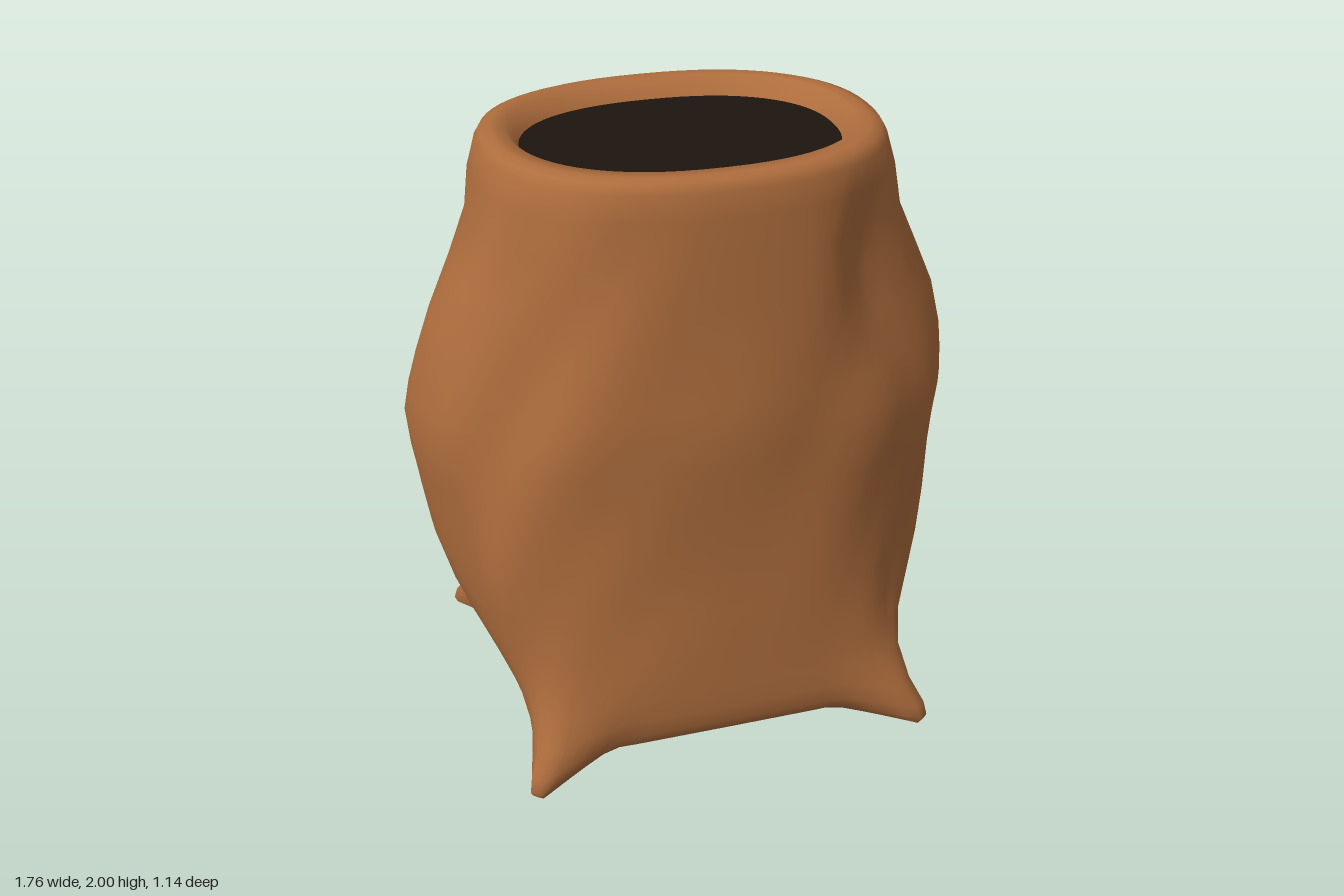
import * as THREE from 'three';
import { toCreasedNormals } from 'three/addons/utils/BufferGeometryUtils.js';

// Sack cross-sections: height, half width, front depth, back depth, squareness, corner pull
const ROWS = [
  [0.09, 0.001, 0.001, 0.001, 7, 0],
  [0.09, 0.35, 0.31, 0.30, 7, 0],
  [0.09, 0.56, 0.485, 0.465, 7, 0.95],
  [0.11, 0.585, 0.51, 0.49, 7, 1],
  [0.15, 0.595, 0.525, 0.50, 6, 0.92],
  [0.21, 0.615, 0.53, 0.505, 5, 0.6],
  [0.28, 0.645, 0.53, 0.505, 4.2, 0.34],
  [0.36, 0.685, 0.53, 0.50, 3.6, 0.15],
  [0.46, 0.735, 0.53, 0.495, 3.1, 0.04],
  [0.58, 0.785, 0.53, 0.49, 2.7, 0],
  [0.70, 0.82, 0.53, 0.495, 2.5, 0],
  [0.84, 0.845, 0.535, 0.51, 2.3, 0],
  [0.97, 0.865, 0.54, 0.518, 2.18, 0],
  [1.10, 0.88, 0.548, 0.518, 2.1, 0],
  [1.20, 0.865, 0.55, 0.513, 2.1, 0],
  [1.30, 0.84, 0.545, 0.507, 2.15, 0],
  [1.45, 0.79, 0.53, 0.50, 2.25, 0],
  [1.60, 0.72, 0.525, 0.51, 2.35, 0],
  [1.75, 0.655, 0.52, 0.503, 2.4, 0],
  [1.88, 0.64, 0.517, 0.49, 2.35, 0],
  [1.96, 0.618, 0.513, 0.486, 2.3, 0],
  [1.99, 0.60, 0.50, 0.475, 2.3, 0],
  [2.00, 0.57, 0.475, 0.45, 2.3, 0],
  [2.00, 0.525, 0.43, 0.41, 2.3, 0],
  [1.94, 0.485, 0.39, 0.37, 2.3, 0],
];
const SEG = 64;
// Pulled-out bottom corners, one per quadrant
const TIPS = [[0.68, 0.01, 0.555], [-0.645, 0, 0.55], [-0.675, 0.05, -0.565], [0.675, 0.05, -0.545]];
const PATCH = { x: -0.025, y: 0.975, rx: 0.235, ry: 0.295 };

const spow = (v, e) => Math.sign(v) * Math.pow(Math.abs(v), e);
const bump = (d, w) => Math.exp(-(d * d) / (w * w));

function skinPoint([y, a, front, back, n, pull], u) {
  const c = Math.cos(u), s = Math.sin(u), depth = s > 0 ? front : back;
  const p = new THREE.Vector3(a * spow(c, 2 / n), y, depth * spow(s, 2 / n));
  // soft lumps and folds, fading out at the hem, the rim and behind the patch
  if (y > 0.25 && y < 1.95) {
    let fade = Math.min(1, (y - 0.25) * 3, (1.95 - y) * 4);
    if (s < 0) fade *= 1 - bump(Math.hypot(p.x - PATCH.x, y - PATCH.y), 0.4);
    const lumps = 0.010 * Math.sin(5 * u + 3.5 * y) + 0.010 * Math.sin(7 * u - 5 * y + 1)
      + 0.006 * Math.sin(11 * u + 8 * y);
    const dents = 0.07 * bump(u - 0.8, 0.22) * bump(y - 1.52, 0.28)
      + 0.03 * bump(u - 0.75, 0.25) * bump(y - 0.75, 0.3)
      + 0.03 * bump(u - 5.4, 0.25) * bump(y - 0.85, 0.35)
      + 0.02 * bump(u - 2.4, 0.2) * bump(y - 1.45, 0.2);
    const k = 1 + fade * (lumps * Math.abs(c * s) * 2.2 - dents) / 0.6;
    p.x *= k;
    p.z *= k;
  }
  // shift the four bottom corners outward and down into blunt ears
  const q = Math.min(3, Math.floor(u / (Math.PI / 2)));
  const off = Math.abs(u - (q + 0.5) * Math.PI / 2);
  const w = pull * Math.min(1, Math.max(0, 1.23 * (1 - off / 0.54)));
  const corner = Math.pow(2, -1 / n);
  const [tx, ty, tz] = TIPS[q];
  p.x += (tx - Math.sign(c) * a * corner) * w;
  p.y += (ty - 0.09) * w;
  p.z += (tz - Math.sign(s) * depth * corner) * w;
  return p;
}

// Skin between closed rings of points
function loft(rings) {
  const pos = [], idx = [], n = rings[0].length;
  rings.forEach(r => r.forEach(p => pos.push(p.x, p.y, p.z)));
  for (let i = 0; i < rings.length - 1; i++) {
    for (let j = 0; j < n; j++) {
      const a = i * n + j, b = i * n + (j + 1) % n;
      idx.push(a, a + n, b, b, a + n, b + n);
    }
  }
  const g = new THREE.BufferGeometry();
  g.setAttribute('position', new THREE.Float32BufferAttribute(pos, 3));
  g.setIndex(idx);
  g.computeVertexNormals();
  return g;
}

// Back surface depth at a given place, interpolated from the rows
function backZ(x, y) {
  const i = ROWS.findIndex(r => r[0] > y);
  const A = ROWS[i - 1], B = ROWS[i], t = (y - A[0]) / (B[0] - A[0]);
  const [, a, , back, n] = A.map((v, k) => v + (B[k] - v) * t);
  return -back * Math.pow(1 - Math.pow(Math.abs(x / a), n), 1 / n);
}

export function createModel() {
  const group = new THREE.Group();
  const add = (name, geometry, color, side = THREE.FrontSide) => {
    const mesh = new THREE.Mesh(geometry, new THREE.MeshStandardMaterial({ color, side }));
    mesh.name = name;
    group.add(mesh);
    return mesh;
  };
  const angles = Array.from({ length: SEG }, (_, j) => (j / SEG) * Math.PI * 2);

  // Cloth body with base, ears and thick rolled rim
  const body = loft(ROWS.map(row => angles.map(u => skinPoint(row, u))));
  add('sackBody', toCreasedNormals(body, 1.0), 0xae6d3d);

  // Dark inside, closing the mouth just below the rim
  const mouth = ROWS[ROWS.length - 1];
  const centre = angles.map(() => new THREE.Vector3(0, mouth[0], 0));
  add('darkInside', loft([angles.map(u => skinPoint(mouth, u)), centre]), 0x1c140f);

  // Oval patch swelling gently from the back
  const rings = [1, 0.98, 0.8, 0.6, 0.4, 0.2, 0.001].map((r, i) => Array.from({ length: 24 }, (_, j) => {
    const t = (j / 24) * Math.PI * 2;
    const ex = r * PATCH.rx * spow(Math.cos(t), 0.88), ey = r * PATCH.ry * spow(Math.sin(t), 0.88);
    const x = PATCH.x + ex + 0.03 * ey, y = PATCH.y + ey;
    const lift = i === 0 ? -0.01 : 0.004 + 0.02 * (1 - r * r);
    return new THREE.Vector3(x, y, backZ(x, y) - lift);
  }));
  add('patch', loft(rings), 0xcccccc, THREE.DoubleSide);

  // Green leaf and its thin stem on the patch
  const leaf = add('leaf', new THREE.SphereGeometry(1, 16, 10), 0x1aa81a);
  leaf.scale.set(0.1, 0.075, 0.01);
  leaf.position.set(-0.065, 0.985, -0.54);
  leaf.rotation.z = -0.4;
  const stemPath = new THREE.CatmullRomCurve3([
    new THREE.Vector3(-0.15, 1.035, -0.542),
    new THREE.Vector3(-0.03, 0.965, -0.549),
    new THREE.Vector3(0.12, 0.885, -0.536),
  ]);
  add('leafStem', new THREE.TubeGeometry(stemPath, 8, 0.004, 6), 0x126e12);
  return group;
}
